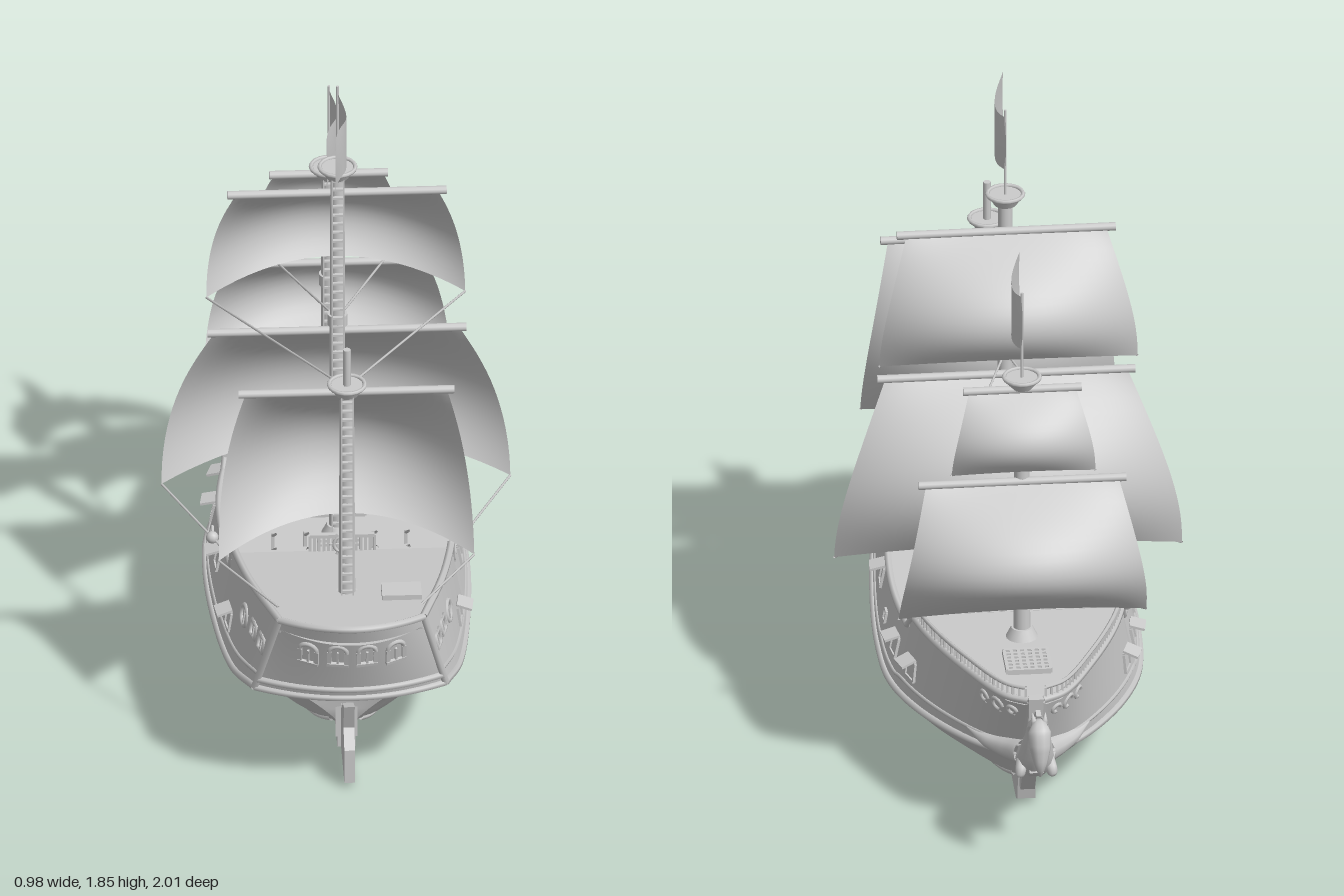
import * as THREE from 'three';
import { ParametricGeometry } from 'three/addons/geometries/ParametricGeometry.js';

const V = (x, y, z) => new THREE.Vector3(x, y, z);
const lerp = THREE.MathUtils.lerp;
const mat = new THREE.MeshStandardMaterial({ color: 0xcccccc, side: THREE.DoubleSide });

// piecewise linear lookup in [[key, value], ...]
function lookup(table, k) {
  let i = 1;
  while (i < table.length - 1 && table[i][0] < k) i++;
  const [a, b] = [table[i - 1], table[i]];
  return lerp(a[1], b[1], THREE.MathUtils.clamp((k - a[0]) / (b[0] - a[0]), 0, 1));
}
const row = pts => new THREE.CatmullRomCurve3(pts.map(([z, x, y]) => V(x, y, z)));

// hull lines as [z, half width, y], bow to stern
const sheer = [[-.85, .485], [-.28, .465], [-.23, .41], [.33, .44], [.38, .53], [.9, .615], [1, .64]];
const topPts = [[-.84, .02], [-.8, .08], [-.62, .175], [-.4, .26], [-.2, .305], [0, .325], [.3, .31], [.6, .27], [.9, .2]];
const topRow = row(topPts.map(([z, x]) => [z, x, 0]));
const waleRow = row([[-.74, .015, .25], [-.7, .06, .247], [-.6, .155, .238], [-.4, .275, .225], [-.2, .345, .22],
  [0, .362, .23], [.3, .35, .245], [.6, .315, .28], [.82, .265, .35]]);
const bilgeRow = row([[-.66, .012, .19], [-.55, .09, .15], [-.4, .18, .13], [-.2, .27, .125], [0, .3, .13],
  [.3, .28, .14], [.5, .23, .17], [.66, .16, .24]]);
const floorRow = row([[-.6, .01, .12], [-.45, .06, .07], [-.2, .14, .055], [0, .17, .05], [.3, .15, .05], [.5, .08, .06], [.6, .03, .1]]);
const keelRow = row([[-.55, .01, .05], [0, .01, .045], [.58, .01, .05]]);

const topAt = u => { const p = topRow.getPointAt(u); p.y = lookup(sheer, p.z); return p; };
const sideAt = (u, t) => waleRow.getPointAt(u).lerp(topAt(u), t);
const lowerAt = (u, v) => new THREE.CatmullRomCurve3([waleRow, bilgeRow, floorRow, keelRow].map(r => r.getPointAt(u))).getPoint(v);
// stern surfaces bow outwards between the two hull corners
const transomAt = (s, t) => {
  const p = sideAt(1, t), k = 1 - s * s;
  return V(p.x * s, p.y + .025 * t * k, p.z + lerp(.07, .1, t) * k);
};
// hull side frame at given z and y: point and outward normal
function sideFrame(z, y) {
  let lo = 0, hi = 1, t = .5, p;
  for (let i = 0; i < 30; i++) {
    const u = (lo + hi) / 2, w = waleRow.getPointAt(u), q = topAt(u);
    t = (y - w.y) / (q.y - w.y);
    p = w.lerp(q, t);
    if (p.z < z) lo = u; else hi = u;
  }
  const du = sideAt(Math.min(1, lo + .02), t).sub(sideAt(Math.max(0, lo - .02), t)).setY(0);
  const dv = sideAt(lo, 1).sub(sideAt(lo, 0));
  return { p, n: dv.cross(du).normalize() };
}

export function createModel() {
  const ship = new THREE.Group();
  const add = (name, geo, x = 0, y = 0, z = 0, parent = ship) => {
    const m = new THREE.Mesh(geo, mat);
    m.name = name;
    m.position.set(x, y, z);
    parent.add(m);
    return m;
  };
  const surface = (name, fn, nu, nv) => add(name, new ParametricGeometry((u, v, o) => o.copy(fn(u, v)), nu, nv));
  const box = (name, w, h, d, x, y, z, parent) => add(name, new THREE.BoxGeometry(w, h, d), x, y, z, parent);
  const cyl = (name, r0, r1, h, x, y, z, n = 14) => add(name, new THREE.CylinderGeometry(r1, r0, h, n), x, y, z);
  const tube = (name, pts, r, n = 5, seg = pts.length * 3) =>
    add(name, new THREE.TubeGeometry(new THREE.CatmullRomCurve3(pts), seg, r, n));
  const rope = (a, b, r = .0035) => add('rope', new THREE.TubeGeometry(new THREE.LineCurve3(a, b), 1, r, 5));
  const flip = (p, s) => V(p.x * s, p.y, p.z);
  const range = (n, f) => Array.from({ length: n + 1 }, (_, i) => f(i / n));
  // flat part drawn in the z-y plane
  const plate = (name, pts, t) => {
    const g = new THREE.ExtrudeGeometry(new THREE.Shape(pts.map(p => new THREE.Vector2(...p))), { depth: t, bevelEnabled: false });
    return add(name, g.translate(0, 0, -t / 2).rotateY(-Math.PI / 2));
  };
  // tube whose radius follows a list
  const taper = (name, pts, radii) => {
    const c = new THREE.CatmullRomCurve3(pts.map(p => V(...p))), g = new THREE.TubeGeometry(c, 20, 1, 10), a = g.attributes.position;
    const rt = radii.map((r, i) => [i / (radii.length - 1), r]);
    for (let i = 0; i < a.count; i++) {
      const t = Math.floor(i / 11) / 20, o = c.getPointAt(t);
      const p = V(0, 0, 0).fromBufferAttribute(a, i).sub(o).multiplyScalar(lookup(rt, t)).add(o);
      a.setXYZ(i, p.x, p.y, p.z);
    }
    g.computeVertexNormals();
    return add(name, g);
  };

  // hull sides, rails and fittings
  for (const s of [1, -1]) {
    surface('upperHull', (u, v) => flip(sideAt(u, v), s), 90, 3);
    surface('lowerHull', (u, v) => flip(lowerAt(u, v), s), 48, 16);
    tube('capRail', range(90, u => flip(topAt(u), s)), .011, 6, 180);
    tube('wale', range(40, u => flip(waleRow.getPointAt(u), s)), .011, 6);
    tube('upperWale', range(40, u => flip(sideAt(u, .18), s)), .006);
    tube('bilgeStrake', range(24, u => flip(floorRow.getPointAt(.06 + u * .92), s)), .008);
    tube('sternCorner', range(4, t => flip(sideAt(1, t), s)), .011, 6);

    // forecastle balustrade
    const posts = range(30, u => flip(topAt(.005 + u * .32), s));
    posts.forEach(p => box('baluster', .007, .035, .007, p.x, p.y + .018, p.z));
    tube('foreRail', posts.map(p => V(p.x, p.y + .037, p.z)), .006);

    // gun ports with raised lids
    for (const [z, y] of [[.47, .36], [.16, .365], [-.02, .33], [-.17, .32], [-.32, .32]]) {
      const f = sideFrame(z, y), g = new THREE.Group();
      g.name = 'gunPort';
      ship.add(g);
      g.position.copy(flip(f.p, s));
      g.lookAt(flip(f.p.clone().add(f.n), s));
      const w = z === -.02 ? .03 : .056;
      for (const k of [1, -1]) {
        box('portSide', .007, w, .014, k * w / 2, 0, 0, g);
        box('portEdge', w, .007, .014, 0, k * w / 2, 0, g);
      }
      box('portDoor', w, w, .004, 0, 0, 0, g);
      if (w > .04) box('portLid', w, .007, .045, 0, w / 2, .022, g).rotation.x = .45;
    }
    // side windows: two arched, one round
    for (const [z, y, n] of [[.8, .48, 4], [.72, .475, 4], [.62, .46, 14]]) {
      const f = sideFrame(z, y), w = add('sideWindow', new THREE.TorusGeometry(.03, .007, 6, n), ...flip(f.p, s).toArray());
      w.lookAt(flip(f.p.clone().add(f.n), s));
      if (n === 4) w.rotateZ(Math.PI / 4);
      const bar = box('windowBar', .006, .055, .008, ...flip(f.p, s).toArray());
      bar.lookAt(flip(f.p.clone().add(f.n), s));
    }
    // bow scrollwork
    for (const [z, r] of [[-.7, .016], [-.75, .02], [-.79, .014]]) {
      const f = sideFrame(z, .43);
      add('scroll', new THREE.TorusGeometry(r, .006, 6, 14, 5), ...flip(f.p, s).toArray()).lookAt(flip(f.p.clone().add(f.n), s));
    }
    // figurehead legs and ears
    taper('foreleg', [[.03 * s, .3, -.8], [.045 * s, .27, -.86], [.04 * s, .25, -.82], [.04 * s, .245, -.78]], [.02, .016, .011, .006]);
    taper('hindBody', [[.03 * s, .29, -.78], [.07 * s, .275, -.72], [.12 * s, .27, -.66], [.17 * s, .28, -.6]], [.035, .03, .02, .002]);
    taper('ear', [[.012 * s, .45, -.935], [.016 * s, .475, -.935], [.018 * s, .492, -.93]], [.01, .008, .001]);

    // ladders from the waist to the quarterdeck
    for (let i = 0; i < 6; i++) box('stairStep', .085, .008, .026, .14 * s, .41 + i * .018, .21 + i * .028);
    for (const k of [-.045, .045]) {
      rope(V(.14 * s + k, .4, .19), V(.14 * s + k, .51, .36), .006);
      rope(V(.14 * s + k, .45, .19), V(.14 * s + k, .56, .36), .004);
      box('stairPost', .01, .07, .01, .14 * s + k, .425, .19);
    }
    // ladders to the forecastle
    for (let i = 0; i < 3; i++) box('foreStep', .07, .01, .022, .07 * s, .4 + i * .018, -.18 - i * .022);
  }

  // stern
  surface('transom', (u, v) => transomAt(u * 2 - 1, v), 24, 4);
  surface('counter', (u, v) => {
    const s = u * 2 - 1, p = lowerAt(1, v);
    return V(p.x * s, p.y, p.z + lookup([[0, .07], [.33, -.02], [.6, 0], [1, 0]], v) * (1 - s * s));
  }, 24, 16);
  for (const t of [0, .12, 1]) tube('sternRail', range(20, u => transomAt(u * 2 - 1, t)), .011, 6);
  for (const s of [-.54, -.18, .18, .54]) {
    const p = transomAt(s, .62), g = new THREE.Group();
    g.name = 'sternWindow';
    g.position.copy(p);
    g.rotation.set(.3, s * .7, 0);
    ship.add(g);
    add('windowArch', new THREE.TorusGeometry(.024, .007, 6, 10, Math.PI), 0, .014, 0, g);
    for (const k of [-1, 0, 1]) box('windowBar', k ? .012 : .006, .05, .012, k * .024, -.01, 0, g);
    box('windowSill', .06, .01, .016, 0, -.035, 0, g);
  }

  // decks
  const deck = (name, z0, z1, y0, y1) => surface(name, (u, v) => {
    const z = lerp(z0, z1, v);
    return V((u * 2 - 1) * (lookup(topPts, z) - .003), lerp(y0, y1, v), z);
  }, 2, 20);
  deck('foredeck', -.83, -.25, .465, .452);
  deck('mainDeck', -.25, .36, .385, .395);
  deck('quarterdeck', .36, .9, .505, .575);
  surface('sternDeck', (u, v) => { const s = u * 2 - 1; return V(.2 * s, .575 + .01 * v, .9 + .095 * v * (1 - s * s)); }, 16, 2);
  box('foreBulkhead', .6, .07, .012, 0, .418, -.25);
  box('aftBulkhead', .615, .115, .012, 0, .448, .36);
  for (const [z, y, gap] of [[-.25, .452, .04], [.365, .505, 0]])
    for (const s of [1, -1]) {
      const a = gap, b = z > 0 ? .09 : .27;
      box('deckRail', b - a, .01, .014, s * (a + b) / 2, y + .05, z);
      for (let i = 0; i <= 7; i++) box('deckBaluster', .008, .05, .008, s * lerp(a, b, i / 7), y + .025, z);
    }
  // grated hatches, cabin hatch and wheel
  for (const [z, w, y] of [[-.08, .16, .392], [.22, .13, .398], [-.58, .12, .462]]) {
    for (let i = 0; i < 7; i++) {
      const o = (i / 6 - .5) * w;
      box('gratingBar', .009, .016, w, o, y + .006, z);
      box('gratingSlat', w, .016, .009, 0, y + .006, z + o);
    }
  }
  box('cabinHatch', .11, .03, .07, .15, .55, .67);
  add('steeringWheel', new THREE.TorusGeometry(.026, .005, 6, 16), 0, .56, .42);
  for (let i = 0; i < 3; i++) box('wheelSpoke', .075, .005, .005, 0, .56, .42).rotation.z = i * Math.PI / 3;
  box('wheelStand', .02, .06, .02, 0, .53, .435);

  // keel, stem and rudder
  plate('keel', [[.6, .01], [.6, .25], [.565, .25], [.565, .07], [0, .055], [-.4, .07], [-.56, .17], [-.62, .17], [-.57, .1], [-.55, .02], [-.51, 0]], .05);
  plate('stem', [[-.52, .06], [-.59, .07], [-.67, .18], [-.76, .24], [-.87, .27], [-.83, .37], [-.85, .49], [-.82, .49], [-.78, .38], [-.7, .25], [-.6, .17]], .04);
  plate('rudder', [[.6, .015], [.8, .015], [.8, .12], [.75, .165], [.78, .25], [.7, .215], [.64, .16], [.6, .16]], .03);
  box('rudderPost', .06, .2, .025, 0, .15, .6);

  // horse figurehead
  taper('horseNeck', [[0, .26, -.74], [0, .295, -.82], [0, .36, -.865], [0, .43, -.9], [0, .455, -.94]], [.03, .055, .045, .034, .024]);
  taper('horseHead', [[0, .46, -.915], [0, .45, -.95], [0, .4, -.97], [0, .345, -.98], [0, .315, -.975]], [.01, .032, .03, .019, .003]);
  plate('mane', [[-.79, .33], [-.82, .39], [-.85, .44], [-.9, .485], [-.93, .48], [-.9, .42], [-.86, .35]], .014);

  // masts: [z, foot, top, pole top, lower band]
  for (const [name, z, foot, top, pole, band, r] of [['mizzenMast', .635, .5, 1.2, 1.33, 0, .011],
    ['mainMast', .085, .38, 1.57, 1.85, 1.09, .004], ['foreMast', -.415, .45, 1.26, 1.54, .91, .004]]) {
    cyl(name, .024, .02, top - foot, 0, (top + foot) / 2, z);
    cyl('topPole', r, r, pole - top, 0, (pole + top) / 2, z, 8);
    cyl('crowsNest', .032, .05, .03, 0, top, z, 16);
    add('nestRim', new THREE.TorusGeometry(.05, .006, 6, 18).rotateX(Math.PI / 2), 0, top + .016, z);
    cyl('mastFoot', .045, .03, .03, 0, foot + .025, z);
    if (band) cyl('mastBand', .028, .028, .035, 0, band, z);
    const n = Math.round((top - foot) / .028);
    for (let i = 2; i < n; i++) box('ladderRung', .032, .006, .01, 0, foot + i * .028, z + .026);
    for (const s of [1, -1]) box('ladderRail', .004, top - foot, .006, s * .016, (top + foot) / 2, z + .028);
  }

  // sails and yards
  const sails = {};
  for (const [name, z, y0, y1, w0, w1, dz, edge, belly, lift, yard] of [
    ['mizzenSail', .6, 1.17, .64, .28, .355, .02, .07, .17, .06, .3],
    ['mainSail', .05, 1.03, .51, .34, .485, -.05, .06, .14, .08, .36],
    ['mainTopsail', .05, 1.48, 1.11, .28, .36, -.06, .05, .13, .06, .305],
    ['foreSail', -.435, .95, .54, .27, .345, 0, .09, .13, .07, .29],
    ['foreTopsail', -.435, 1.24, 1, .15, .2, -.03, .04, .06, .03, .165]]) {
    const at = (s, v) => {
      const k = 1 - s * s;
      return V(s * lerp(w0, w1, Math.sin(v * Math.PI / 2)), lerp(y0, y1 + lift * k, v),
        z + dz * v - edge * Math.sin(Math.PI * v) - belly * Math.sin(2.2 * v) * k);
    };
    sails[name] = at(1, 1);
    surface(name, (u, v) => at(u * 2 - 1, v), 24, 16);
    cyl('yard', .012, .012, yard * 2, 0, y0 + .004, z + .006, 10).rotation.z = Math.PI / 2;
  }

  // sheets with pulley blocks, and topsail braces
  for (const s of [1, -1]) {
    for (const [sail, end] of [['mizzenSail', V(.2, .615, .83)], ['mainSail', V(.31, .44, .27)], ['foreSail', V(.29, .46, -.24)]]) {
      const a = flip(sails[sail], s), b = flip(end, s);
      rope(a, b);
      const p = a.clone().lerp(b, .75);
      if (sail !== 'mizzenSail') add('pulleyBlock', new THREE.SphereGeometry(.018, 10, 8), p.x, p.y, p.z);
    }
    rope(V(0, 1.19, .61), flip(sails.mainTopsail, s));
    rope(V(0, 1.09, .085), flip(sails.foreTopsail, s));
  }

  // rippling flags streaming aft
  for (const [z, y] of [[.085, 1.66], [-.415, 1.36]])
    surface('flag', (u, v) => V(.02 * Math.sin(u * 4.5), y + v * .165 + .012 * Math.sin(u * 6 + 3), z + u * .275 - .02 * Math.sin(v * Math.PI) * (1 - 2 * u)), 18, 6);

  return ship;
}
